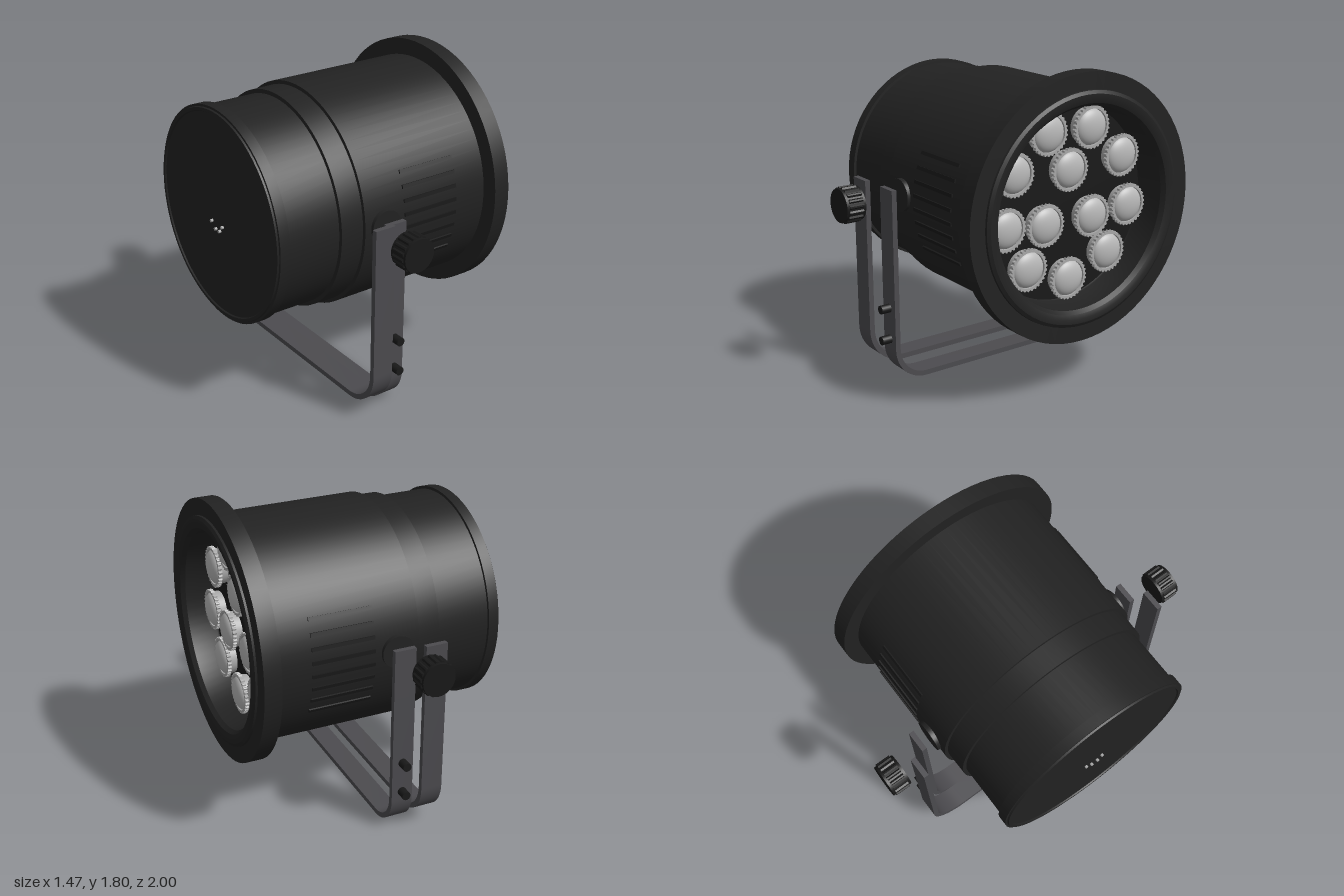
import * as THREE from 'three';
import { toCreasedNormals } from 'three/addons/utils/BufferGeometryUtils.js';

const CY = 1.067; // height of the lamp axis

function material(name, color, side = THREE.FrontSide) {
  const m = new THREE.MeshStandardMaterial({ color, side });
  m.name = name;
  return m;
}

// Outline of a toothed wheel
function toothedShape(r, depth, teeth) {
  const s = new THREE.Shape();
  for (let i = 0; i < teeth * 4; i++) {
    const a = ((i + 0.5) / (teeth * 4)) * Math.PI * 2;
    const rr = i % 4 < 2 ? r : r - depth;
    const x = Math.cos(a) * rr, y = Math.sin(a) * rr;
    if (i === 0) s.moveTo(x, y); else s.lineTo(x, y);
  }
  s.closePath();
  return s;
}

// Outline of a U-shaped strap: half width w, from y0 to y1, thickness t, corner radius r
function strapShape(w, y0, y1, t, r) {
  const s = new THREE.Shape();
  s.moveTo(-w, y1);
  s.lineTo(-w, y0 + r);
  s.absarc(-w + r, y0 + r, r, Math.PI, Math.PI * 1.5, false);
  s.lineTo(w - r, y0);
  s.absarc(w - r, y0 + r, r, Math.PI * 1.5, Math.PI * 2, false);
  s.lineTo(w, y1);
  s.lineTo(w - t, y1);
  s.absarc(w - r, y0 + r, r - t, Math.PI * 2, Math.PI * 1.5, true);
  s.absarc(-w + r, y0 + r, r - t, Math.PI * 1.5, Math.PI, true);
  s.lineTo(-w + t, y1);
  s.closePath();
  return s;
}

export function createModel() {
  const model = new THREE.Group();
  model.name = 'stageLight';
  const black = material('housing black', 0x222222);
  const dark = material('dark black', 0x191919);
  const steel = material('bracket grey', 0x4c4b4f);
  const glass = material('lens grey', 0xb8b8b8);
  const silver = material('lens ring silver', 0xa9a9a9);

  const add = (name, geo, mat, x = 0, y = 0, z = 0, parent = model) => {
    const m = new THREE.Mesh(geo, mat);
    m.name = name;
    m.position.set(x, y, z);
    parent.add(m);
    return m;
  };
  const lathe = (pts) => toCreasedNormals(
    new THREE.LatheGeometry(pts.map(([x, r]) => new THREE.Vector2(r, x)), 72), 0.5).rotateZ(-Math.PI / 2);
  const extrude = (shape, depth, curveSegments = 10) => toCreasedNormals(
    new THREE.ExtrudeGeometry(shape, { depth, bevelEnabled: false, curveSegments }), 0.5);

  // Stepped can with a recessed front
  add('housing', lathe([
    [-0.722, 0], [-0.722, 0.575], [-0.73, 0.58], [-0.73, 0.597], [-0.72, 0.6],
    [-0.72, 0.613], [-0.66, 0.613], [-0.66, 0.597], [-0.345, 0.597],
    [-0.345, 0.62], [-0.21, 0.622], [-0.21, 0.643], [0.615, 0.643],
    [0.615, 0.738], [0.713, 0.738], [0.713, 0.645], [0.725, 0.643], [0.735, 0.625],
    [0.735, 0.6], [0.725, 0.575], [0.7, 0.557], [0.54, 0.55], [0.53, 0.545],
  ]), black, 0, CY);
  add('lensPanel', new THREE.CircleGeometry(0.552, 72).rotateY(Math.PI / 2), dark, 0.53, CY);

  // Lenses, mirrored across z
  const ringShape = toothedShape(0.12, 0.008, 30);
  const hole = new THREE.Path();
  hole.absarc(0, 0, 0.1, 0, Math.PI * 2, true);
  ringShape.holes.push(hole);
  const ringGeo = extrude(ringShape, 0.022, 18).rotateY(Math.PI / 2);
  const cupGeo = new THREE.CylinderGeometry(0.106, 0.1, 0.045, 32).rotateZ(-Math.PI / 2);
  const domeGeo = new THREE.SphereGeometry(0.1, 32, 10, 0, Math.PI * 2, 0, Math.PI / 2)
    .scale(1, 0.45, 1).rotateZ(-Math.PI / 2);
  const spots = [
    [0.144, 1.476], [0.364, 1.289], [0, 1.262], [0.417, 1.0],
    [0.16, 0.979], [0.273, 0.754], [0, 0.652],
  ];
  for (const [z, y] of spots) {
    for (const s of z ? [1, -1] : [1]) {
      const lens = new THREE.Group();
      lens.name = 'lens';
      lens.position.set(0.53, y, z * s);
      model.add(lens);
      add('lensCup', cupGeo, silver, 0.022, 0, 0, lens);
      add('lensRing', ringGeo, silver, 0.042, 0, 0, lens);
      add('lensDome', domeGeo, glass, 0.045, 0, 0, lens);
    }
  }

  // Two U-shaped straps
  const outer = extrude(strapShape(0.825, 0.075, 1.17, 0.03, 0.22), 0.125).rotateY(Math.PI / 2);
  add('rearBracket', outer, steel, -0.28);
  const inner = extrude(strapShape(0.742, 0.004, 1.13, 0.03, 0.2), 0.125).rotateY(Math.PI / 2);
  add('frontBracket', inner, steel, -0.142);

  // Side hardware and vents
  const knobGeo = extrude(toothedShape(0.102, 0.009, 18), 0.085);
  const capGeo = new THREE.CylinderGeometry(0.094, 0.094, 0.115, 36).rotateX(Math.PI / 2);
  const boltGeo = new THREE.CylinderGeometry(0.025, 0.025, 0.09, 20).rotateX(Math.PI / 2);
  const bossGeo = new THREE.CylinderGeometry(0.092, 0.092, 0.06, 36).rotateX(Math.PI / 2);
  for (const s of [1, -1]) {
    const knob = new THREE.Group();
    knob.name = 'knob';
    knob.position.set(-0.137, 1.065, s * 0.9425);
    model.add(knob);
    add('knobGrip', knobGeo, dark, 0, 0, -0.0425, knob);
    add('knobCore', capGeo, dark, 0, 0, 0, knob);
    add('pivotBoss', bossGeo, black, -0.08, 1.08, s * 0.63);
    for (const y of [0.44, 0.255]) add('bracketBolt', boltGeo, dark, -0.078, y, s * 0.755);
    for (let i = 0; i < 8; i++) {
      const y = 0.803 + i * 0.076;
      const a = Math.asin((y - CY) / 0.643);
      const vent = add('vent', new THREE.BoxGeometry(0.36, 0.02, 0.016), dark,
        0.23, y, s * Math.cos(a) * 0.643);
      vent.rotation.x = -a * s;
    }
  }

  // Small indicators on the rear plate
  const dotGeo = new THREE.CylinderGeometry(0.009, 0.009, 0.014, 12).rotateZ(Math.PI / 2);
  for (const [y, z] of [[1.015, -0.06], [0.98, -0.02], [0.98, 0.02], [1.015, 0.05]]) {
    add('indicator', dotGeo, silver, -0.729, y, z);
  }
  return model;
}
